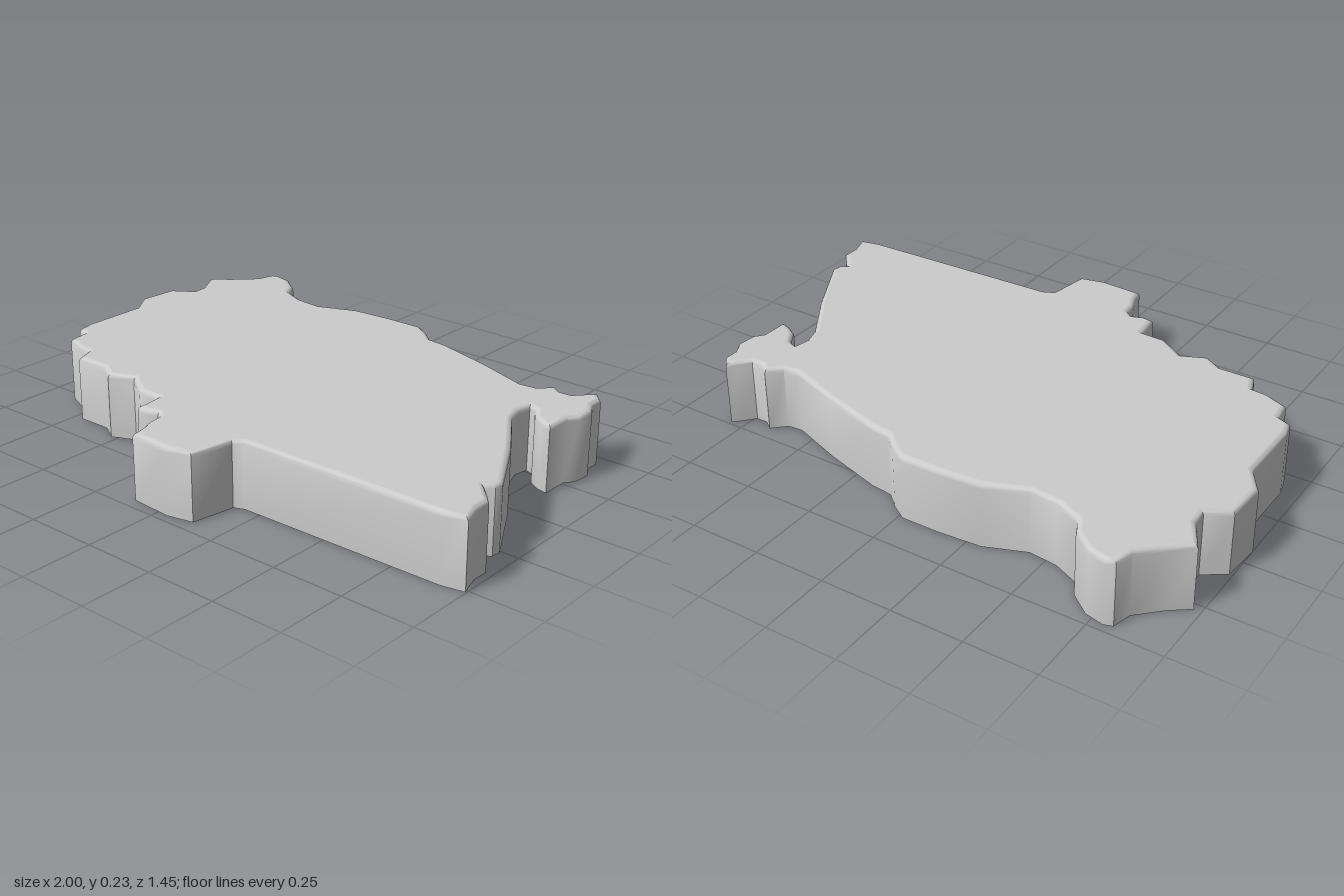
import * as THREE from 'three';
import { toCreasedNormals } from 'three/addons/utils/BufferGeometryUtils.js';

const HEIGHT = 0.23;
const ROUND = 0.018;

// Outline as [x, z], clockwise seen from above, one list per side
const back = [
  [-0.82, -0.715], [-0.79, -0.725], [-0.725, -0.71], [-0.655, -0.655], [-0.63, -0.605],
  [-0.54, -0.565], [-0.44, -0.555], [-0.3, -0.61], [-0.15, -0.62], [-0.015, -0.62],
  [0.04, -0.585], [0.09, -0.54], [0.17, -0.53], [0.38, -0.468], [0.565, -0.4],
  [0.62, -0.405], [0.665, -0.45], [0.7, -0.425], [0.74, -0.425], [0.775, -0.465], [0.8, -0.49],
];
const left = [
  [0.835, -0.45], [0.835, -0.4], [0.86, -0.355], [0.855, -0.29], [0.83, -0.26],
  [0.828, -0.16], [0.79, -0.17], [0.75, -0.195], [0.715, -0.25], [0.69, -0.26],
  [0.68, -0.21], [0.7, -0.145], [0.82, 0.04], [0.94, 0.26], [0.935, 0.29],
  [0.91, 0.31], [0.945, 0.345], [0.975, 0.38], [0.975, 0.44], [0.997, 0.51],
];
const front = [
  [0.92, 0.525], [0.19, 0.535], [0.155, 0.55], [0.13, 0.7], [0.04, 0.72],
  [-0.11, 0.71], [-0.12, 0.66], [-0.14, 0.61], [-0.145, 0.565], [-0.17, 0.545],
  [-0.21, 0.56], [-0.25, 0.555], [-0.26, 0.46], [-0.345, 0.457], [-0.395, 0.425],
  [-0.44, 0.393], [-0.525, 0.43], [-0.59, 0.39], [-0.715, 0.39], [-0.74, 0.325],
  [-0.795, 0.32], [-0.875, 0.285],
];
const right = [
  [-0.885, 0.215], [-0.93, 0.195], [-0.943, 0.14], [-0.943, -0.1], [-1, -0.185],
  [-0.99, -0.325], [-0.915, -0.375], [-0.92, -0.43], [-0.975, -0.525],
  [-0.91, -0.575], [-0.835, -0.65],
];
const outline = [...back, ...left, ...front, ...right].map(([x, z]) => new THREE.Vector2(x, z));

// Moves the outline inwards by d, with mitred corners
function inset(points, d) {
  const n = points.length;
  const normal = (a, b) => new THREE.Vector2(b.y - a.y, a.x - b.x).normalize();
  return points.map((p, i) => {
    const n1 = normal(points[(i + n - 1) % n], p);
    const n2 = normal(p, points[(i + 1) % n]);
    const miter = n1.clone().add(n2).normalize();
    return p.clone().addScaledVector(miter, -d / Math.max(miter.dot(n1), 0.6));
  });
}

// Upright wall whose upper edge rounds over towards the top
function wallGeometry() {
  const n = outline.length;
  const rings = [{ d: 0, y: 0 }];
  for (let k = 0; k <= 4; k++) {
    const a = (k / 4) * Math.PI / 2;
    rings.push({ d: ROUND * (1 - Math.cos(a)), y: HEIGHT - ROUND * (1 - Math.sin(a)) });
  }
  const positions = [];
  const indices = [];
  rings.forEach(({ d, y }, r) => {
    inset(outline, d).forEach((p) => positions.push(p.x, y, p.y));
    if (r === 0) return;
    for (let i = 0; i < n; i++) {
      const j = (i + 1) % n;
      const a = (r - 1) * n + i, b = (r - 1) * n + j, c = r * n + i, e = r * n + j;
      indices.push(a, c, b, b, c, e);
    }
  });
  const geometry = new THREE.BufferGeometry();
  geometry.setAttribute('position', new THREE.Float32BufferAttribute(positions, 3));
  geometry.setIndex(indices);
  return toCreasedNormals(geometry, 0.7);
}

export function createModel() {
  const model = new THREE.Group();
  model.name = 'hollowMapPlate';
  const material = new THREE.MeshStandardMaterial({ color: 0xcccccc, side: THREE.DoubleSide });

  // Outer wall, open at the bottom
  const wall = new THREE.Mesh(wallGeometry(), material);
  wall.name = 'outerWall';

  // Flat top closing the wall
  const shape = new THREE.Shape(inset(outline, ROUND).map((p) => new THREE.Vector2(p.x, -p.y)));
  const top = new THREE.Mesh(new THREE.ShapeGeometry(shape).rotateX(-Math.PI / 2), material);
  top.position.y = HEIGHT;
  top.name = 'topPlate';

  model.add(wall, top);
  return model;
}
